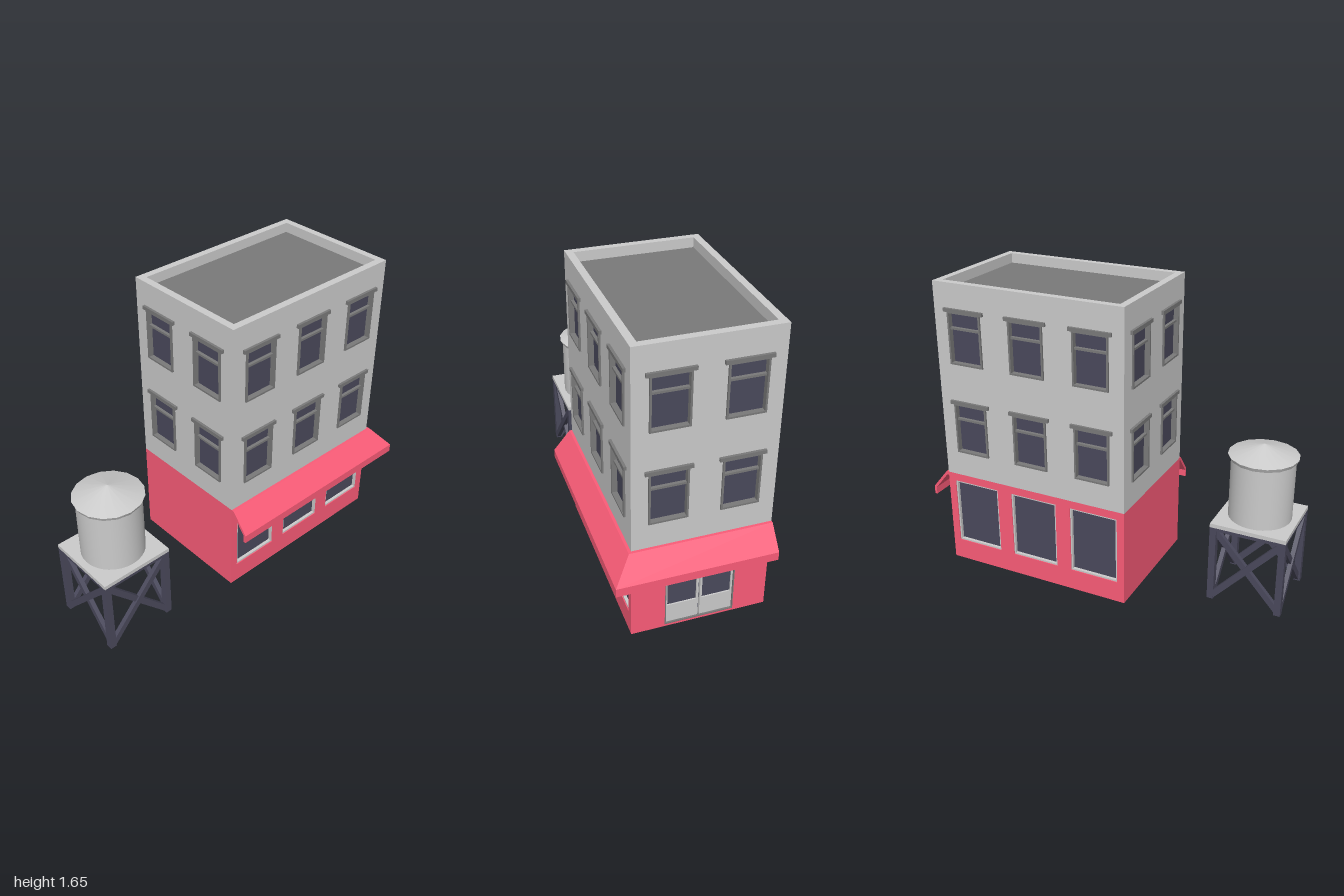
import * as THREE from 'three';

const mat = (color) => new THREE.MeshStandardMaterial({ color });
const GREY = mat(0xcccccc), TRIM = mat(0x7a7a7a), RED = mat(0xfb5c78), GLASS = mat(0x4a495c);

// Building footprint and wall thickness
const W = 1.1, D = 0.734, CX = 0.34, CZ = -0.048, T = 0.04, SPLIT = 0.55, TOP = 1.65;

function add(parent, name, geo, material, x = 0, y = 0, z = 0) {
  const m = new THREE.Mesh(geo, material);
  m.name = name;
  m.position.set(x, y, z);
  parent.add(m);
  return m;
}

const box = (parent, name, material, w, h, d, x, y, z) =>
  add(parent, name, new THREE.BoxGeometry(w, h, d), material, x, y, z);

function group(parent, name) {
  const g = new THREE.Group();
  g.name = name;
  parent.add(g);
  return g;
}

function rect(Type, x, y, w, h) {
  return new Type([[x - w / 2, y], [x + w / 2, y], [x + w / 2, y + h], [x - w / 2, y + h]]
    .map(([a, b]) => new THREE.Vector2(a, b)));
}

// Flat panel with rectangular openings [x, y, w, h]; its back lies at z0
function panel(parent, name, material, outer, holes, z0, depth) {
  const shape = rect(THREE.Shape, ...outer);
  shape.holes = holes.map((h) => rect(THREE.Path, ...h));
  return add(parent, name, new THREE.ExtrudeGeometry(shape, { depth, bevelEnabled: false }), material, 0, 0, z0);
}

// Sash window with lintel and mid rail, facing +z
function sashWindow(parent, x, y) {
  const g = group(parent, 'sashWindow');
  g.position.set(x, y, 0);
  panel(g, 'windowFrame', TRIM, [0, 0, 0.2, 0.29], [[0, 0.01, 0.18, 0.27]], -0.03, 0.04);
  box(g, 'windowGlass', GLASS, 0.19, 0.28, 0.01, 0, 0.145, -0.024);
  box(g, 'windowRail', TRIM, 0.19, 0.012, 0.02, 0, 0.196, -0.012);
  box(g, 'lintel', TRIM, 0.238, 0.02, 0.03, 0, 0.296, -0.001);
}

// Large shop window set into the wall
function shopWindow(parent, x, [, y, w, h]) {
  const g = group(parent, 'shopWindow');
  g.position.set(x, y, 0);
  panel(g, 'shopWindowFrame', GREY, [0, 0, w, h], [[0, 0.009, w - 0.018, h - 0.018]], -0.035, 0.03);
  box(g, 'shopWindowGlass', GLASS, w - 0.01, h - 0.01, 0.01, 0, h / 2, -0.027);
}

// Pair of glazed doors
function doubleDoor(parent, [, y, w, h]) {
  const g = group(parent, 'doubleDoor');
  g.position.y = y;
  panel(g, 'doorFrame', TRIM, [0, 0, w, h], [[0, 0.006, w - 0.012, h - 0.012]], -0.035, 0.035);
  box(g, 'doorGap', GLASS, w - 0.01, h - 0.01, 0.008, 0, h / 2, -0.033);
  for (const s of [-1, 1]) {
    const lw = w / 2 - 0.009;
    panel(g, 'doorLeaf', GREY, [s * w / 4, 0.006, lw, h - 0.012],
      [[s * w / 4, 0.118, lw - 0.022, h - 0.15]], -0.028, 0.018);
    box(g, 'doorGlass', GLASS, lw - 0.02, h - 0.14, 0.008, s * w / 4, 0.113 + (h - 0.14) / 2, -0.022);
  }
}

// One side of the building, turned so that its outside faces +z locally
function facade(parent, name, width, dist, angle, panelWidth, xs, ground) {
  const g = group(parent, name);
  g.rotation.y = angle;
  g.position.set(CX + Math.sin(angle) * dist, 0, CZ + Math.cos(angle) * dist);
  const rows = [0.695, 1.21];
  const upperHoles = rows.flatMap((y) => xs.map((x) => [x, y, 0.19, 0.28]));
  panel(g, 'upperWall', GREY, [0, SPLIT, panelWidth, TOP - SPLIT], upperHoles, -T, T);
  for (const y of rows) for (const x of xs) sashWindow(g, x, y);

  const shop = [0, 0.12, 0.28, 0.385], door = [0, 0.012, 0.375, 0.48];
  const holes = ground === 'shop' ? xs.map((x) => [x, ...shop.slice(1)]) : ground === 'door' ? [door] : [];
  panel(g, 'groundWall', RED, [0, 0, panelWidth, SPLIT], holes, -T, T);
  if (ground === 'shop') xs.forEach((x) => shopWindow(g, x, shop));
  if (ground === 'door') doubleDoor(g, door);
}

// Awning: a thin folded profile swept along the front and right with a mitred corner
function awningGeometry() {
  const profile = [[0, 0.53], [0, SPLIT], [0.015, SPLIT], [0.11, 0.435], [0.11, 0.387], [0.096, 0.387], [0.096, 0.428], [0.012, 0.53]];
  const x0 = CX - W / 2, x1 = CX + W / 2, z0 = CZ - D / 2, z1 = CZ + D / 2;
  const stations = [[x0, z1, 0, 1], [x1, z1, 1, 1], [x1, z0, 1, 0]];
  const n = profile.length, pos = [], idx = [];
  for (const [x, z, dx, dz] of stations)
    for (const [o, y] of profile) pos.push(x + dx * o, y, z + dz * o);
  for (let s = 0; s < 2; s++)
    for (let i = 0; i < n; i++) {
      const a = s * n + i, b = s * n + (i + 1) % n;
      idx.push(a, b, a + n, b, b + n, a + n);
    }
  const caps = THREE.ShapeUtils.triangulateShape(profile.map(([a, b]) => new THREE.Vector2(a, b)), []);
  for (const [a, b, c] of caps) idx.push(a, b, c, 2 * n + a, 2 * n + c, 2 * n + b);
  const geo = new THREE.BufferGeometry();
  geo.setAttribute('position', new THREE.Float32BufferAttribute(pos, 3));
  geo.setIndex(idx);
  const flat = geo.toNonIndexed();
  flat.computeVertexNormals();
  return flat;
}

// Square beam between two points
function beam(parent, name, a, b, w, d) {
  const p = new THREE.Vector3(...a), q = new THREE.Vector3(...b);
  const m = box(parent, name, GLASS, w, d, p.distanceTo(q), 0, 0, 0);
  m.position.copy(p).add(q).multiplyScalar(0.5);
  m.lookAt(q);
}

function waterTower(parent) {
  const g = group(parent, 'waterTower');
  // Four sides, each with a leg, a top beam and crossed braces
  const h = 0.188, top = 0.44;
  for (let i = 0; i < 4; i++) {
    const side = group(g, 'towerSide');
    box(side, 'towerLeg', GLASS, 0.036, top, 0.036, h, top / 2, h);
    box(side, 'topBeam', GLASS, 2 * h, 0.02, 0.03, 0, top - 0.01, h);
    for (const s of [-1, 1])
      beam(side, 'crossBrace', [-s * h, 0.012, h + s * 0.004], [s * h, top - 0.014, h + s * 0.004], 0.024, 0.034);
    side.rotation.y = i * Math.PI / 2;
  }
  box(g, 'platform', GREY, 0.412, 0.022, 0.412, 0, 0.451, 0);
  add(g, 'tank', new THREE.CylinderGeometry(0.17, 0.17, 0.345, 32), GREY, 0, 0.632, 0);
  // Eave and conical cap
  add(g, 'tankEave', new THREE.CylinderGeometry(0.187, 0.178, 0.02, 16), GREY, 0, 0.81, 0);
  add(g, 'tankRoof', new THREE.ConeGeometry(0.187, 0.06, 16), GREY, 0, 0.85, 0);
  g.position.set(-0.794, 0, 0.04);
}

export function createModel() {
  const model = new THREE.Group();
  model.name = 'cornerShopWithWaterTower';

  const building = group(model, 'building');
  const three = [-0.367, 0, 0.367], two = [-0.183, 0.183];
  facade(building, 'frontFacade', W, D / 2, 0, W, three, 'shop');
  facade(building, 'backFacade', W, D / 2, Math.PI, W, three, 'shop');
  facade(building, 'leftFacade', D, W / 2, Math.PI / 2, D - 2 * T, two, 'door');
  facade(building, 'rightFacade', D, W / 2, -Math.PI / 2, D - 2 * T, two, 'plain');
  box(building, 'groundFloor', RED, W - 2 * T, 0.01, D - 2 * T, CX, 0.005, CZ);
  box(building, 'roof', TRIM, W - 2 * T, 0.02, D - 2 * T, CX, 1.585, CZ);
  add(building, 'awning', awningGeometry(), RED);

  waterTower(model);
  return model;
}
